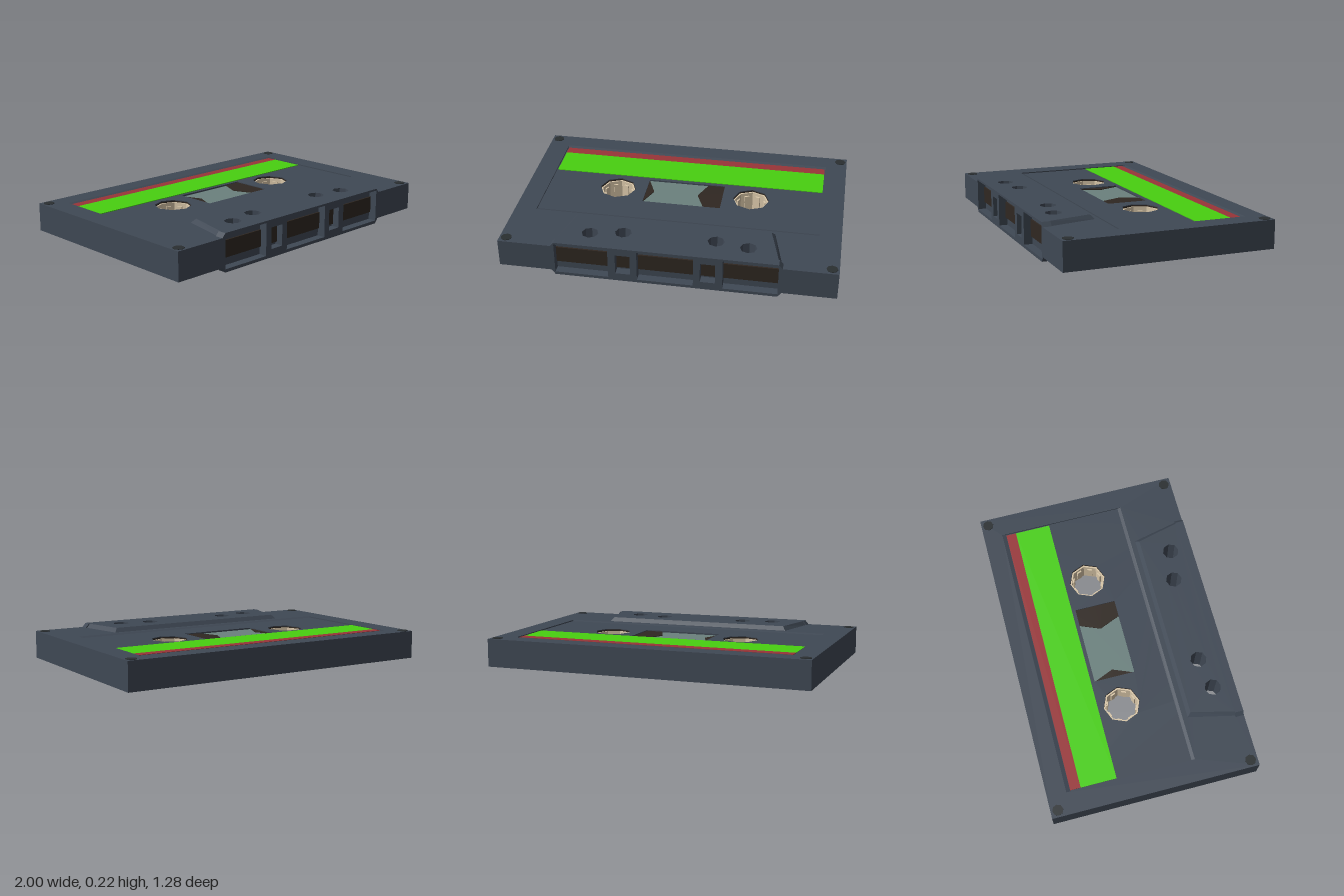
import * as THREE from 'three';

const mat = (color) => new THREE.MeshStandardMaterial({ color, flatShading: true });

// Ring of points, used for octagonal outlines and holes
function ring(x, y, r, n = 8) {
  return Array.from({ length: n }, (_, i) => {
    const a = (i / n) * Math.PI * 2;
    return new THREE.Vector2(x + r * Math.cos(a), y + r * Math.sin(a));
  });
}

const rect = (x0, y0, x1, y1) =>
  [[x0, y0], [x1, y0], [x1, y1], [x0, y1]].map((p) => new THREE.Vector2(...p));

function shapeOf(points, holes = []) {
  const s = new THREE.Shape(points);
  s.holes = holes.map((h) => new THREE.Path(h));
  return s;
}

// Horizontal slab: outline in (x, z), between heights y0 and y1
function slab(points, holes, y0, y1) {
  const g = new THREE.ExtrudeGeometry(shapeOf(points, holes), { depth: y1 - y0, bevelEnabled: false });
  return g.rotateX(Math.PI / 2).translate(0, y1, 0);
}

// Move each vertex by a rule, then refresh the normals
function reshape(g, rule) {
  const p = g.attributes.position;
  const v = new THREE.Vector3();
  for (let i = 0; i < p.count; i++) {
    v.fromBufferAttribute(p, i);
    rule(v);
    p.setXYZ(i, v.x, v.y, v.z);
  }
  g.computeVertexNormals();
  return g;
}

export function createModel() {
  const root = new THREE.Group();
  const cassette = new THREE.Group();
  cassette.name = 'cassette';
  cassette.rotation.y = 0.0085;
  root.add(cassette);

  const shell = mat(0x3f4854), green = mat(0x48d010), red = mat(0x993538);
  const glass = mat(0x6b817e), tape = mat(0x2f2721), cream = mat(0xd8c6a8), dark = mat(0x2a2f31);

  function add(name, geometry, material) {
    const m = new THREE.Mesh(geometry, material);
    m.name = name;
    cassette.add(m);
    return m;
  }
  function box(name, material, x0, x1, y0, y1, z0, z1) {
    const g = new THREE.BoxGeometry(x1 - x0, y1 - y0, z1 - z0);
    return add(name, g.translate((x0 + x1) / 2, (y0 + y1) / 2, (z0 + z1) / 2), material);
  }

  const W = 0.994, D = 0.632, hubX = 0.422, hubZ = -0.062, inner = 0.58;
  const hubHoles = [-1, 1].map((s) => ring(s * hubX, hubZ, 0.112));
  const guideHoles = [];
  for (const s of [-1, 1]) {
    guideHoles.push(ring(s * 0.275, 0.463, 0.05), ring(s * 0.468, 0.497, 0.05));
  }
  const windowHole = rect(-0.242, -0.185, 0.242, 0.067);

  // Body with a notch at the front for the tape openings
  const outline = [[-W, -D], [W, -D], [W, D], [0.665, D], [0.665, inner],
    [-0.665, inner], [-0.665, D], [-W, D]].map((p) => new THREE.Vector2(...p));
  add('body', slab(outline, [...hubHoles, ...guideHoles, windowHole], 0.037, 0.193), shell);

  // Raised rims around the shallow label recess, with sloping front and back edges
  for (const [name, y0, y1, floor] of [['topRim', 0.193, 0.2, 0.193], ['bottomRim', 0.03, 0.037, 0.037]]) {
    const g = slab(outline, [rect(-0.863, -0.515, 0.863, 0.27), ...guideHoles], y0, y1);
    add(name, reshape(g, (v) => {
      if (Math.abs(v.y - floor) < 1e-4 && Math.abs(v.x) > 0.86 && Math.abs(v.x) < 0.87) {
        v.z += v.z < 0 ? 0.024 : -0.02;
      }
    }), shell);
  }

  // Thick front section: bevelled trapezoid caps above and below
  const trapezoid = [[-0.605, 0.3], [0.605, 0.3], [0.668, inner], [-0.668, inner]]
    .map((p) => new THREE.Vector2(...p));
  for (const [name, y0, y1, outer] of [['topHeadCap', 0.2, 0.225, 0.225], ['bottomHeadCap', 0, 0.03, 0]]) {
    const g = slab(trapezoid, guideHoles, y0, y1);
    add(name, reshape(g, (v) => {
      if (Math.abs(v.y - outer) < 1e-4 && Math.abs(v.x) > 0.55) {
        v.x -= Math.sign(v.x) * 0.02;
        if (v.z < 0.4) v.z += 0.022;
      }
    }), shell);
  }

  // Front plate with three large and two small openings
  const plate = [[-0.655, 0], [0.655, 0], [0.677, 0.03], [0.677, 0.2],
    [0.655, 0.225], [-0.655, 0.225], [-0.677, 0.2], [-0.677, 0.03]].map((p) => new THREE.Vector2(...p));
  const openings = [rect(-0.165, 0.018, 0.165, 0.213)];
  for (const s of [-1, 1]) {
    openings.push(rect(s * 0.336, 0.018, s * 0.655, 0.213), rect(s * 0.205, 0.05, s * 0.293, 0.178));
  }
  add('frontPlate', new THREE.ExtrudeGeometry(shapeOf(plate, openings), { depth: D - inner, bevelEnabled: false })
    .translate(0, 0, inner), shell);
  box('tapeStrip', tape, -0.66, 0.66, 0.065, 0.165, inner - 0.01, inner + 0.01);

  // Two-colour labels on both faces
  for (const [side, y0, y1] of [['top', 0.19, 0.197], ['bottom', 0.033, 0.04]]) {
    box(side + 'RedLabel', red, -0.856, 0.856, y0, y1, -0.49, -0.427);
    box(side + 'GreenLabel', green, -0.856, 0.856, y0, y1, -0.427, -0.208);
  }

  // Window pane with the two tape packs showing at its ends
  box('windowPane', glass, -0.242, 0.242, 0.046, 0.184, -0.185, 0.067);
  for (const [name, s, r] of [['rightTapePack', -1, 0.23], ['leftTapePack', 1, 0.336]]) {
    add(name, slab(ring(s * hubX, hubZ, r), [ring(s * hubX, hubZ, 0.111)], 0.042, 0.188), tape);
  }

  // Open hubs with small drive teeth
  for (const s of [-1, 1]) {
    add('hub', slab(ring(s * hubX, hubZ, 0.111), [ring(s * hubX, hubZ, 0.101)], 0.05, 0.18), cream);
    for (let i = 0; i < 8; i++) {
      const a = ((i + 0.5) / 8) * Math.PI * 2;
      const tooth = add('hubTooth', new THREE.BoxGeometry(0.014, 0.09, 0.03), cream);
      tooth.position.set(s * hubX + 0.091 * Math.cos(a), 0.115, hubZ + 0.091 * Math.sin(a));
      tooth.rotation.y = -a;
    }
  }

  // Corner screws
  for (const x of [-0.952, 0.952]) {
    for (const z of [-0.588, 0.588]) {
      add('screw', new THREE.CylinderGeometry(0.033, 0.033, 0.01, 8).translate(x, 0.198, z), dark);
    }
  }
  return root;
}
